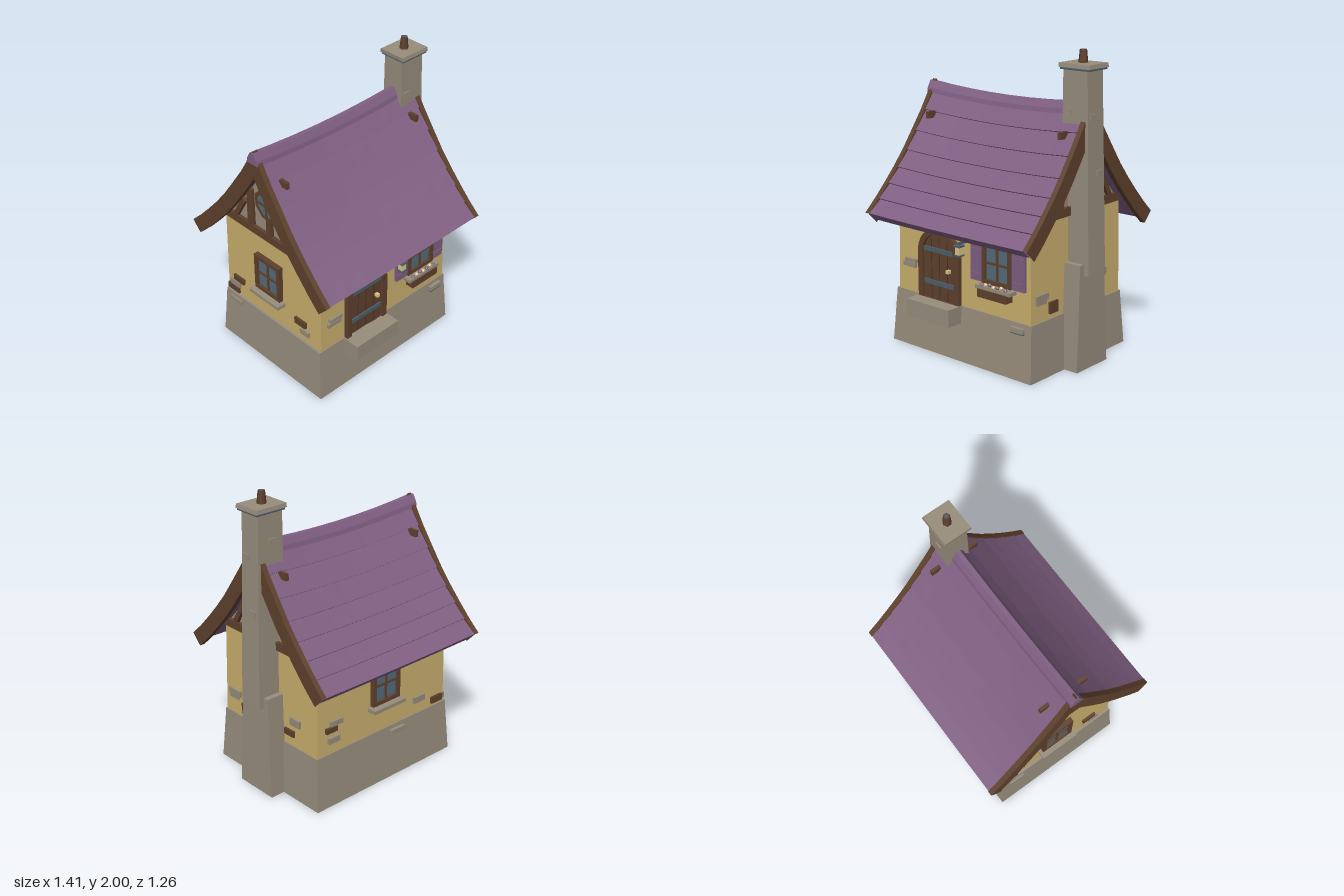
import * as THREE from 'three';

const mat = (name, color, side = THREE.FrontSide) => {
  const m = new THREE.MeshStandardMaterial({ color, side });
  m.name = name;
  return m;
};

export function createModel() {
  const stone = mat('stone', 0x978d7c, THREE.DoubleSide);
  const plaster = mat('plaster', 0xc9af6d);
  const timber = mat('timber', 0x5f412d);
  const darkWood = mat('dark wood', 0x4a3223);
  const purple = mat('purple shingle', 0x805f82);
  const iron = mat('iron', 0x4d5f6b);
  const glass = mat('glass', 0x546c7a);
  const cream = mat('cream', 0xd9c58c);

  const model = new THREE.Group();
  model.name = 'cottage';

  const add = (name, geo, material, x = 0, y = 0, z = 0, parent = model) => {
    const mesh = new THREE.Mesh(geo, material);
    mesh.name = name;
    mesh.position.set(x, y, z);
    parent.add(mesh);
    return mesh;
  };
  const box = (name, m, w, h, d, x, y, z, parent) =>
    add(name, new THREE.BoxGeometry(w, h, d), m, x, y, z, parent);
  const group = (name, x, y, z, ry = 0) => {
    const g = new THREE.Group();
    g.name = name;
    g.position.set(x, y, z);
    g.rotation.y = ry;
    model.add(g);
    return g;
  };

  // Joins matching rings of [x, y, z] points into a flat-faced solid, facing outwards
  const loft = (rings, caps = true) => {
    const n = rings[0].length, last = (rings.length - 1) * n, idx = [];
    for (let r = 0; r < rings.length - 1; r++) {
      for (let i = 0; i < n; i++) {
        const a = r * n + i, b = r * n + (i + 1) % n;
        idx.push(a, b, b + n, a, b + n, a + n);
      }
    }
    if (caps) {
      const flat = rings[0].map((p) => new THREE.Vector3(...p));
      // cap triangles are cut in the plane the ring spans most
      const size = new THREE.Box3().setFromPoints(flat).getSize(new THREE.Vector3());
      const [u, v] = size.x <= Math.min(size.y, size.z) ? ['z', 'y'] : size.y <= size.z ? ['x', 'z'] : ['x', 'y'];
      const pts = flat.map((p) => new THREE.Vector2(p[u], p[v]));
      const turned = THREE.ShapeUtils.isClockWise(pts);
      const tris = THREE.ShapeUtils.triangulateShape(turned ? pts.slice().reverse() : pts, []);
      for (const t of tris) {
        let [a, b, c] = turned ? t.map((k) => n - 1 - k).reverse() : t;
        if (!turned) [a, b, c] = [c, b, a];
        if (turned) [a, b, c] = [a, b, c];
        // the start cap runs against the ring order, the end cap along it
        const along = (b - a) * (c - b) * (a - c) < 0;
        if (along) [b, c] = [c, b];
        idx.push(a, b, c, last + a, last + c, last + b);
      }
    }
    const p = rings.flat();
    let volume = 0;
    const va = new THREE.Vector3(), vb = new THREE.Vector3(), vc = new THREE.Vector3();
    for (let i = 0; i < idx.length; i += 3) {
      va.set(...p[idx[i]]); vb.set(...p[idx[i + 1]]); vc.set(...p[idx[i + 2]]);
      volume += va.dot(vb.cross(vc));
    }
    if (volume < 0) idx.reverse();
    const g = new THREE.BufferGeometry();
    g.setAttribute('position', new THREE.Float32BufferAttribute(p.flat(), 3));
    g.setIndex(idx);
    const out = g.toNonIndexed();
    out.computeVertexNormals();
    return out;
  };
  const rect = (y, x0, x1, z) => [[x0, y, z], [x1, y, z], [x1, y, -z], [x0, y, -z]];

  // Hollow foundation, walls and gables
  add('foundation', loft([rect(0, -0.62, 0.58, 0.485), rect(0.365, -0.6, 0.56, 0.457), rect(0.366, -0.58, 0.55, 0.445)], false), stone);
  add('walls', loft([rect(0.36, -0.583, 0.552, 0.451), rect(0.99, -0.575, 0.54, 0.445)]), plaster);
  const gable = [[0.44, 0.985], [0.36, 1.08], [0.19, 1.29], [0.1, 1.42], [0, 1.56], [-0.1, 1.42], [-0.19, 1.29], [-0.36, 1.08], [-0.44, 0.985]];
  add('gables', loft([-0.572, 0.537].map((x) => gable.map(([z, y]) => [x, y, z]))), stone);

  // Roof profile from eave to ridge, with the outward normal at each point
  const profile = [[0.62, 0.88], [0.53, 0.965], [0.445, 1.055], [0.36, 1.15], [0.275, 1.255], [0.19, 1.375], [0.1, 1.505], [0, 1.67]];
  const offset = (i, d) => {
    const a = profile[Math.max(i - 1, 0)], b = profile[Math.min(i + 1, 7)];
    const dz = b[0] - a[0], dy = b[1] - a[1], len = Math.hypot(dz, dy);
    const [z, y] = profile[i];
    return i === 7 ? [0, y + d * len / -dz] : [z + d * dy / len, y - d * dz / len];
  };
  const sag = (x, y) => y + 0.02 - 0.036 * Math.max(0, (y - 0.75) / 0.95) * (1 - ((x + 0.02) / 0.68) ** 2);
  const sweep = (section, x0, x1, s = 1) => {
    const rings = [];
    for (let k = 0; k <= 8; k++) {
      const x = x0 + (x1 - x0) * k / 8;
      rings.push(section.map(([z, y]) => [x, sag(x, y) - 0.015, z * s]));
    }
    return loft(rings);
  };
  const span = [...profile.keys()];
  for (const s of [1, -1]) {
    add('roofSlope', sweep([...span.map((i) => offset(i, 0)), ...span.map((i) => offset(i, -0.052)).reverse()], -0.68, 0.645, s), purple);
    for (let i = 0; i < 7; i++) {
      add('shingleCourse', sweep([offset(i, -0.01), offset(i, 0.013), offset(i + 1, 0.001), offset(i + 1, -0.01)], -0.672, 0.637, s), purple);
    }
    // Curved barge boards, leaning out slightly towards the eaves
    for (const [inner, outer] of [[-0.655, -0.69], [0.62, 0.655]]) {
      const lean = Math.sign(outer) * 0.014;
      const rings = span.map((i) => {
        const a = offset(i, 0.018), b = offset(i, -0.08), k = lean * (1 - i / 7);
        return [[inner + k, a[1], a[0] * s], [outer + k, a[1], a[0] * s], [outer + k, b[1], b[0] * s], [inner + k, b[1], b[0] * s]];
      });
      add('bargeBoard', loft(rings), timber);
    }
  }
  add('ridgeCap', sweep([[0.047, 1.615], [0.04, 1.645], [0.015, 1.69], [-0.015, 1.69], [-0.04, 1.645], [-0.047, 1.615]], -0.7, 0.65), purple);
  for (const x of [-0.575, 0.535]) box('purlin', timber, 0.022, 0.045, 0.35, x, 1.49, 0);

  // Gable timbers and round gable windows
  const bar = (g, u0, y0, u1, y1, w) => {
    const b = box('gableTimber', timber, Math.hypot(u1 - u0, y1 - y0), w, 0.035, (u0 + u1) / 2, (y0 + y1) / 2, 0, g);
    b.rotation.z = Math.atan2(y1 - y0, u1 - u0);
  };
  for (const s of [1, -1]) {
    const g = group('gableFrame', s > 0 ? 0.543 : -0.578, 0, 0, s * Math.PI / 2);
    bar(g, -0.43, 1.013, 0.43, 1.013, 0.056);
    bar(g, 0, 1.03, 0, 1.17, 0.045);
    bar(g, 0, 1.36, 0, 1.52, 0.045);
    for (const m of [1, -1]) {
      bar(g, m * 0.175, 1.03, m * 0.175, 1.31, 0.05);
      bar(g, m * 0.33, 1.03, m * 0.23, 1.2, 0.035);
    }
    add('roundWindowFrame', new THREE.CylinderGeometry(0.115, 0.115, 0.05, 8).toNonIndexed(), timber, 0, 1.27, 0, g).rotation.set(Math.PI / 2, Math.PI / 8, 0);
    add('roundWindowPane', new THREE.CircleGeometry(0.085, 8, Math.PI / 8), glass, 0, 1.27, 0.027, g);
    box('roundWindowBar', timber, 0.016, 0.17, 0.012, 0, 1.27, 0.028, g);
    box('roundWindowBar', timber, 0.17, 0.016, 0.012, 0, 1.27, 0.028, g);
  }

  // Framed windows with sills
  const makeWindow = (x, z, ry) => {
    const g = group('window', x, 0.703, z, ry);
    for (const m of [1, -1]) {
      box('windowStile', timber, 0.026, 0.265, 0.04, m * 0.105, 0, 0.013, g);
      box('windowRail', timber, 0.236, 0.026, 0.04, 0, m * 0.12, 0.013, g);
    }
    box('windowPane', glass, 0.19, 0.22, 0.008, 0, 0, 0.012, g);
    box('windowMullion', timber, 0.014, 0.22, 0.02, 0, 0, 0.015, g);
    box('windowMullion', timber, 0.19, 0.014, 0.02, 0, 0, 0.015, g);
    box('windowSill', stone, 0.28, 0.024, 0.075, 0, -0.153, 0.03, g);
    return g;
  };
  makeWindow(-0.02, -0.447, Math.PI);
  makeWindow(-0.579, -0.02, -Math.PI / 2);
  const front = makeWindow(0.295, 0.447, 0);
  for (const m of [1, -1]) {
    box('shutter', purple, 0.102, 0.24, 0.02, m * 0.168, -0.013, 0.012, front);
    for (const y of [-0.09, 0.065]) box('shutterBatten', purple, 0.09, 0.02, 0.008, m * 0.168, y, 0.024, front);
  }
  box('flowerBox', timber, 0.235, 0.052, 0.06, 0, -0.188, 0.045, front);
  for (let i = 0; i < 7; i++) {
    add('flower', new THREE.IcosahedronGeometry(0.014, 0), i % 2 ? cream : purple, -0.096 + i * 0.032, -0.138 + (i % 3) * 0.005, 0.055, front);
  }

  // Arched door
  const arch = (r, h, P) => {
    const p = new P();
    p.moveTo(-r, 0);
    p.lineTo(r, 0);
    p.lineTo(r, h);
    p.absarc(0, h, r, 0, Math.PI, false);
    p.lineTo(-r, 0);
    return p;
  };
  const extrude = (shape, depth) => new THREE.ExtrudeGeometry(shape, { depth, bevelEnabled: false, curveSegments: 10 });
  const door = group('door', -0.2, 0.365, 0.435);
  const frame = arch(0.178, 0.3, THREE.Shape);
  frame.holes.push(arch(0.138, 0.3, THREE.Path));
  add('doorFrame', extrude(frame, 0.045), timber, 0, 0, 0, door);
  add('doorLeaf', extrude(arch(0.139, 0.3, THREE.Shape), 0.028), timber, 0, 0, 0, door);
  for (const x of [-0.07, 0, 0.07]) box('doorGroove', darkWood, 0.006, 0.41, 0.004, x, 0.21, 0.028, door);
  for (const y of [0.11, 0.33]) box('hingeStrap', iron, 0.26, 0.03, 0.012, -0.002, y, 0.032, door);
  box('doorKnob', cream, 0.022, 0.022, 0.03, 0.09, 0.21, 0.04, door);
  box('doorStep', stone, 0.372, 0.115, 0.15, -0.202, 0.3075, 0.505);

  // Lantern on a bracket
  box('lanternBracket', iron, 0.014, 0.014, 0.11, 0.045, 0.808, 0.495);
  box('lanternRoof', iron, 0.05, 0.012, 0.05, 0.045, 0.793, 0.54);
  box('lanternGlow', cream, 0.036, 0.055, 0.036, 0.045, 0.762, 0.54);
  box('lanternBase', iron, 0.046, 0.01, 0.046, 0.045, 0.732, 0.54);

  // Chimney
  add('chimneyBase', loft([rect(0, 0.53, 0.68, 0.155), rect(0.69, 0.52, 0.668, 0.122)]), stone);
  add('chimneyShaft', loft([rect(0.62, 0.485, 0.705, 0.086), rect(1.89, 0.483, 0.665, 0.075)]), stone);
  box('chimneyFlashing', iron, 0.215, 0.014, 0.185, 0.58, 1.888, 0);
  add('chimneyCap', loft([rect(1.894, 0.465, 0.695, 0.098), rect(1.92, 0.462, 0.69, 0.094)]), stone);
  add('chimneyPot', new THREE.CylinderGeometry(0.022, 0.03, 0.08, 6).toNonIndexed(), timber, 0.575, 1.96, 0);
  add('potOpening', new THREE.CircleGeometry(0.016, 6), iron, 0.575, 2.0005, 0).rotation.x = -Math.PI / 2;

  // Loose stones and bricks set into the walls: [along wall, y, width, height, material]
  const bricks = (faceX, faceZ, ry, list) => {
    for (const [u, y, w, h, m, out = 0] of list) {
      const alongX = faceZ !== 0;
      const b = box('wallBrick', m, w, h, 0.036, alongX ? u : faceX + Math.sign(faceX) * out, y, alongX ? faceZ + Math.sign(faceZ) * out : u);
      b.rotation.y = ry;
    }
  };
  const side = Math.PI / 2;
  bricks(0, 0.45, 0, [[-0.463, 0.58, 0.1, 0.024, stone], [-0.475, 0.55, 0.11, 0.03, stone], [0.46, 0.322, 0.1, 0.032, stone, 0.014]]);
  bricks(0, -0.45, 0, [[0.4, 0.575, 0.1, 0.035, stone], [0.44, 0.535, 0.09, 0.035, timber], [0.42, 0.46, 0.09, 0.04, stone],
    [-0.34, 0.47, 0.1, 0.045, stone], [-0.51, 0.41, 0.1, 0.045, timber], [-0.13, 0.32, 0.12, 0.035, stone, 0.014]]);
  bricks(0.546, 0, side, [[0.352, 0.522, 0.115, 0.042, stone], [0.36, 0.49, 0.09, 0.022, stone], [0.24, 0.435, 0.08, 0.075, timber],
    [-0.25, 0.54, 0.09, 0.05, stone], [-0.195, 0.45, 0.09, 0.042, timber]]);
  bricks(-0.58, 0, side, [[-0.33, 0.5, 0.1, 0.04, timber], [-0.37, 0.45, 0.09, 0.04, stone], [-0.39, 0.4, 0.11, 0.04, timber],
    [0.27, 0.5, 0.1, 0.045, timber], [0.31, 0.44, 0.08, 0.04, stone], [-0.35, 0.32, 0.11, 0.035, stone, 0.016]]);
  box('strapUnderStone', iron, 0.1, 0.008, 0.036, 0.46, 0.303, 0.463);
  box('chimneyStone', stone, 0.05, 0.04, 0.02, 0.57, 1.7, -0.075);
  box('chimneyStone', stone, 0.05, 0.04, 0.02, 0.53, 1.63, 0.075);
  for (const [y, z] of [[1.6, 0.03], [1.25, -0.03]]) box('chimneyStone', stone, 0.02, 0.04, 0.05, 0.69 - (y - 1) * 0.03, y, z);

  return model;
}
